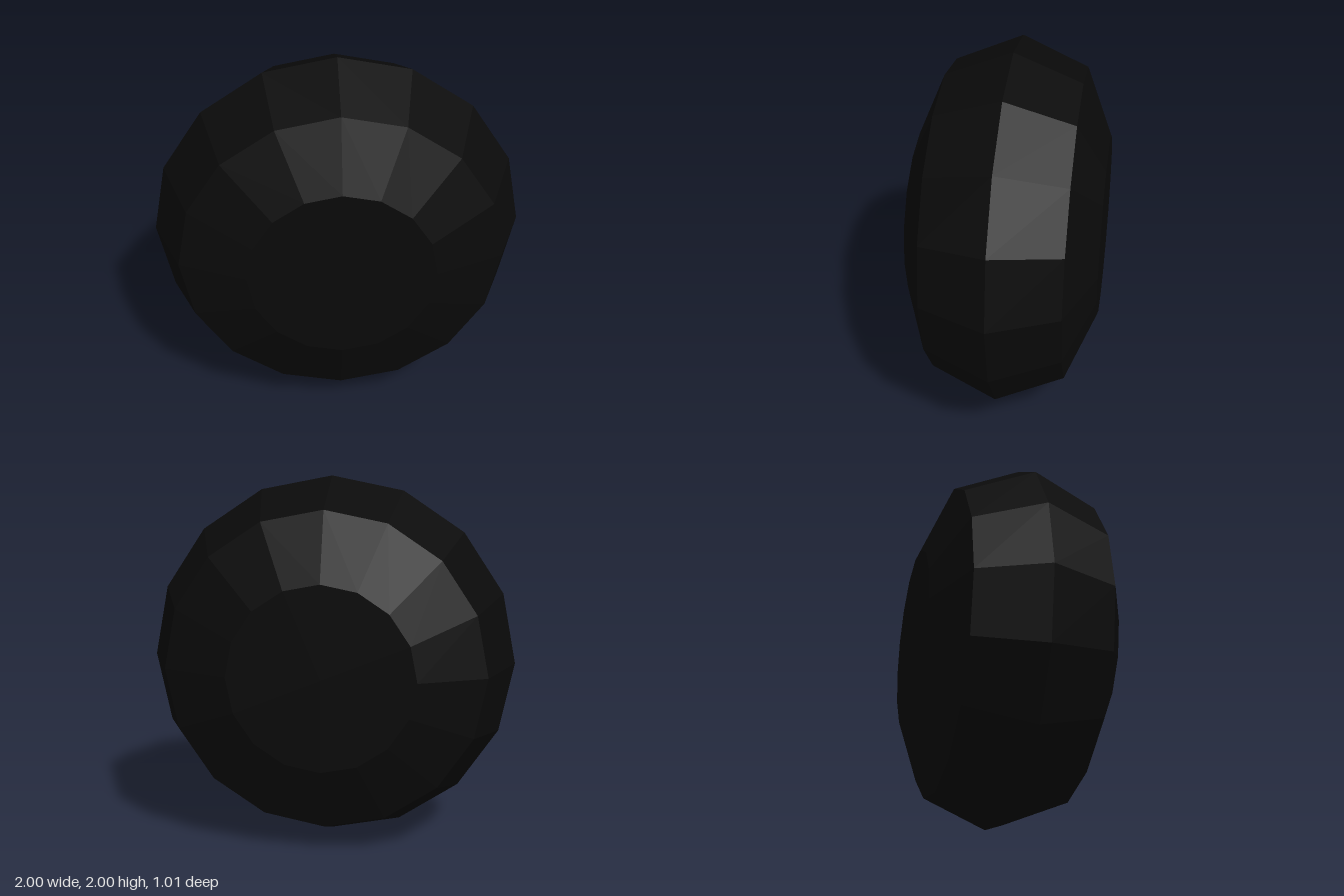
import * as THREE from 'three';

// Low-poly wheel: a 16-sided profile with rounded shoulders and flat sides.
export function createModel() {
  const model = new THREE.Group();
  model.name = 'wheel';

  const sides = 16;
  const shoulder = 0.505;          // radius of the rounded tread
  const flat = 1 - shoulder;       // radius of the flat side disc

  // Half-octagon arc from one flat side to the other, closed on the axis
  const profile = [new THREE.Vector2(0, -shoulder)];
  for (let i = 0; i <= 4; i++) {
    const a = -Math.PI / 2 + (i * Math.PI) / 4;
    profile.push(new THREE.Vector2(flat + shoulder * Math.cos(a), shoulder * Math.sin(a)));
  }
  profile.push(new THREE.Vector2(0, shoulder));

  const geometry = new THREE.LatheGeometry(profile, sides);
  geometry.rotateX(Math.PI / 2);   // axle along z
  geometry.translate(0, 1, 0);

  const material = new THREE.MeshStandardMaterial({ color: 0x0a0a0a, flatShading: true });
  const tyre = new THREE.Mesh(geometry, material);
  tyre.name = 'tyre';
  model.add(tyre);
  return model;
}
